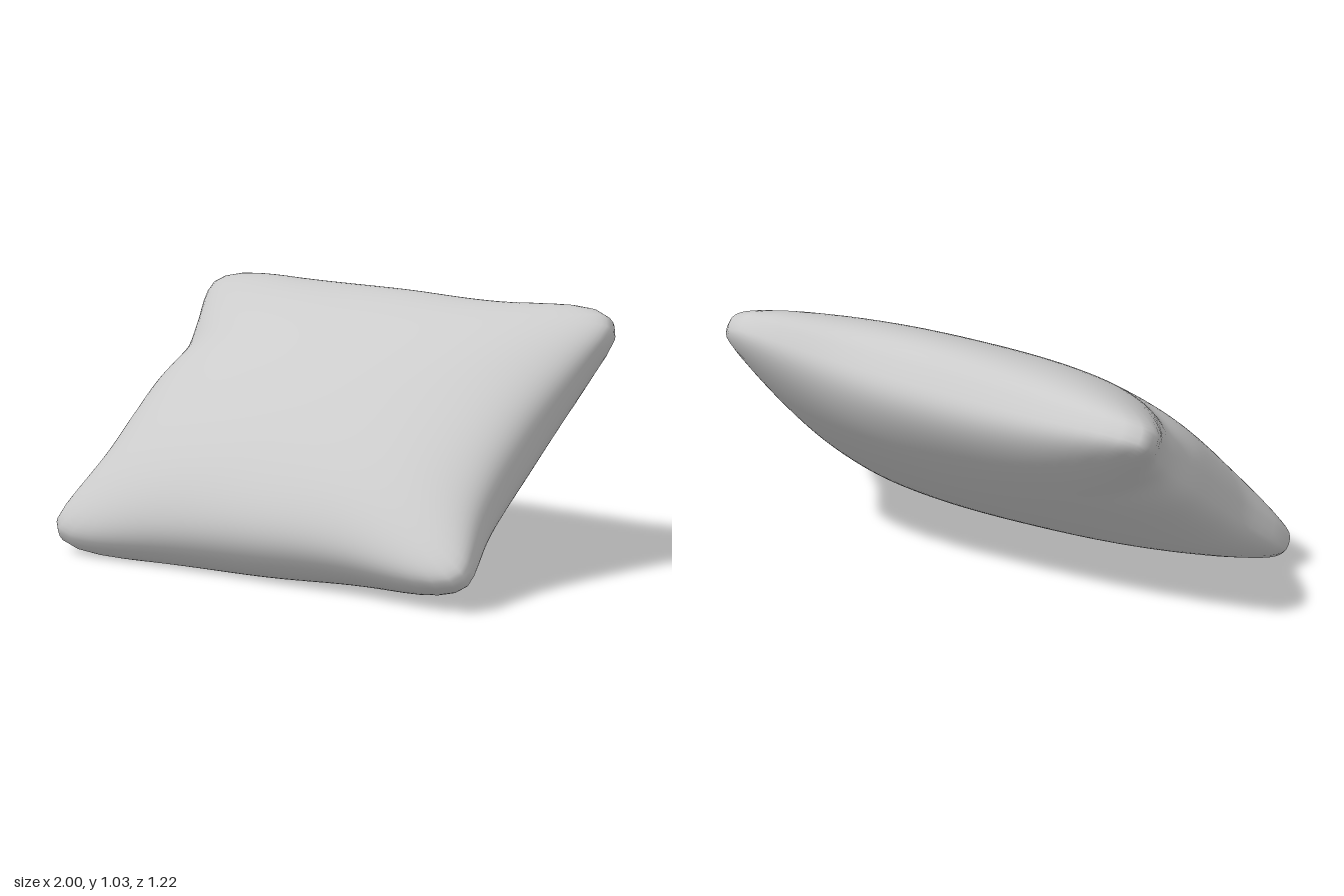
import * as THREE from 'three';
import { mergeVertices } from 'three/addons/utils/BufferGeometryUtils.js';

// Smooth curve through evenly spaced values, sampled over -1..1
function profile(values) {
  const curve = new THREE.SplineCurve(values.map((v, i) => new THREE.Vector2(i, v)));
  return (t) => curve.getPoint(THREE.MathUtils.clamp((t + 1) / 2, 0, 1)).y;
}

// Half-widths of the two sides, from lower to upper edge
const rightSide = profile([1.08, 0.985, 0.92, 0.895, 0.88, 0.855, 0.89, 0.975, 1.075]);
const leftSide = profile([1.08, 0.985, 0.92, 0.895, 0.89, 0.895, 0.915, 0.95, 1.02]);
// Half-lengths of the upper and lower edges, from -x to +x
const upperEdge = profile([0.74, 0.695, 0.685, 0.69, 0.78]);
const lowerEdge = profile([0.735, 0.70, 0.695, 0.69, 0.735]);

function pillowGeometry() {
  let geo = new THREE.SphereGeometry(1, 128, 56);
  geo.deleteAttribute('uv');
  geo.deleteAttribute('normal');
  geo = mergeVertices(geo, 1e-4);
  const pos = geo.attributes.position;
  for (let i = 0; i < pos.count; i++) {
    const x = pos.getX(i), y = pos.getY(i), z = pos.getZ(i);
    // Round in the middle, squarer towards the rim
    const r = Math.hypot(x, z) || 1;
    const p = 2 + 9 * r ** 3;
    const m = (Math.abs(x / r) ** p + Math.abs(z / r) ** p) ** (1 / p) || 1;
    const s = x / m, t = -z / m;
    // Pinched sides and drawn-out corners
    const side = s < 0 ? rightSide(t) : leftSide(t);
    const edge = t > 0 ? upperEdge(s) : lowerEdge(s);
    const px = s * (0.89 + Math.abs(s) ** 3 * (side - 0.89));
    const pu = t * (0.69 + t * t * (edge - 0.69));
    // Plump middle with full rounded rims, thinner blunt corners
    const h = Math.sign(y) * Math.abs(y) ** 0.7 * (y > 0 ? 0.305 : 0.265);
    const thin = 1 - 0.45 * s * s * t * t;
    // Slight twist: +x corners rise, -x corners sink
    const twist = (t > 0 ? 0.05 : 0.035) * s * t * t;
    // Tuck beside the upper corner on the -x side
    const tuck = s < 0 ? 0.18 * s ** 6 * Math.exp(-(((t - 0.34) / 0.12) ** 2)) : 0;
    pos.setXYZ(i, px, h * thin * (1 - tuck) + twist, -pu);
  }
  // Lean back and rest on the ground
  geo.rotateX(0.657);
  geo.center();
  geo.computeBoundingBox();
  geo.translate(0, -geo.boundingBox.min.y, 0);
  geo.computeVertexNormals();
  return geo;
}

export function createModel() {
  const group = new THREE.Group();
  group.name = 'pillow';
  const cushion = new THREE.Mesh(
    pillowGeometry(),
    new THREE.MeshStandardMaterial({ color: 0xcccccc })
  );
  cushion.name = 'cushion';
  group.add(cushion);
  return group;
}
